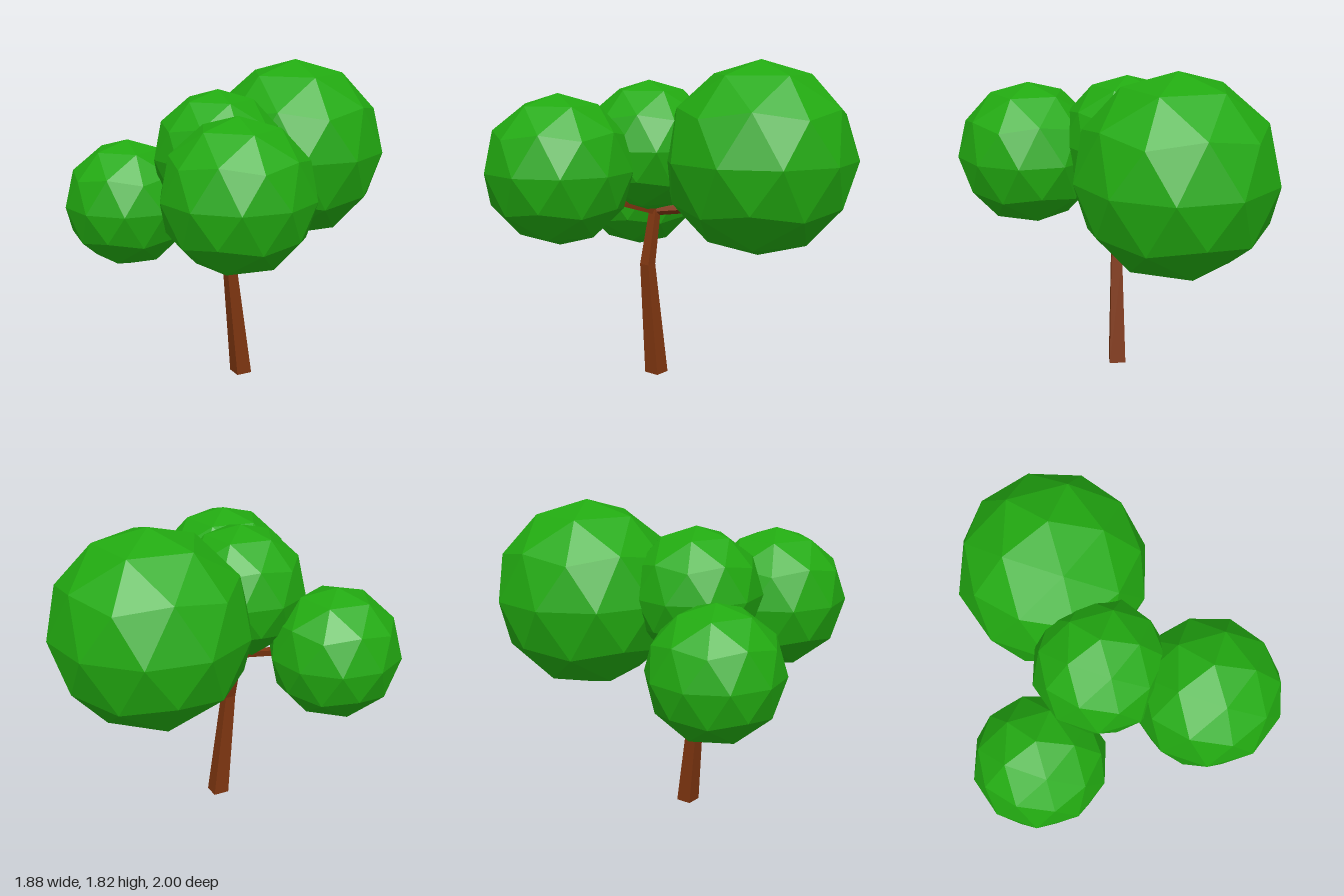
import * as THREE from 'three';

const leafMaterial = new THREE.MeshStandardMaterial({ color: 0x22aa11, flatShading: true });
const barkMaterial = new THREE.MeshStandardMaterial({ color: 0x7d3510, flatShading: true });

// Faceted ball of leaves with a corner pointing straight up
function foliage(name, radius, x, y, z) {
  const geometry = new THREE.IcosahedronGeometry(radius, 1);
  geometry.rotateZ(-Math.atan(2 / (1 + Math.sqrt(5))));
  const mesh = new THREE.Mesh(geometry, leafMaterial);
  mesh.name = name;
  mesh.position.set(x, y, z);
  return mesh;
}

// Square trunk: each level of a four-sided cylinder is moved and scaled
function trunk(levels) {
  const n = levels.length - 1;
  const geometry = new THREE.CylinderGeometry(1, 1, n, 4, n);
  geometry.rotateY(-0.34);
  const p = geometry.attributes.position;
  for (let i = 0; i < p.count; i++) {
    const [x, y, z, r] = levels[Math.round(p.getY(i) + n / 2)];
    p.setXYZ(i, x + p.getX(i) * r, y, z + p.getZ(i) * r);
  }
  const mesh = new THREE.Mesh(geometry, barkMaterial);
  mesh.name = 'trunk';
  return mesh;
}

// Square branch from one point to another
function branch(name, from, to) {
  const direction = to.clone().sub(from);
  const geometry = new THREE.CylinderGeometry(0.024, 0.027, direction.length(), 4);
  geometry.rotateY(Math.PI / 4);
  const mesh = new THREE.Mesh(geometry, barkMaterial);
  mesh.name = name;
  mesh.position.copy(from).add(to).multiplyScalar(0.5);
  mesh.quaternion.setFromUnitVectors(new THREE.Vector3(0, 1, 0), direction.normalize());
  return mesh;
}

export function createModel() {
  const tree = new THREE.Group();
  tree.name = 'tree';

  // Bent, tapering trunk: x, y, z, radius
  tree.add(trunk([
    [0.072, 0, 0.013, 0.066],
    [0.008, 0.64, 0.04, 0.044],
    [-0.042, 0.95, -0.03, 0.034],
  ]));

  // Branches spreading from the fork into the leaves
  const fork = new THREE.Vector3(-0.042, 0.94, -0.03);
  const tips = {
    frontBranch: [0.01, 1.06, 0.36],
    backBranch: [0.25, 0.99, -0.3],
    sideBranch: [-0.38, 0.99, -0.1],
    topBranch: [-0.06, 1.2, 0],
  };
  for (const [name, tip] of Object.entries(tips)) {
    tree.add(branch(name, fork, new THREE.Vector3(...tip)));
  }

  // Leaf clusters
  tree.add(
    foliage('backFoliage', 0.545, 0.42, 1.275, -0.455),
    foliage('frontFoliage', 0.418, 0.026, 1.222, 0.58),
    foliage('sideFoliage', 0.377, -0.585, 1.012, -0.167),
    foliage('topFoliage', 0.378, -0.06, 1.322, 0),
  );
  return tree;
}
